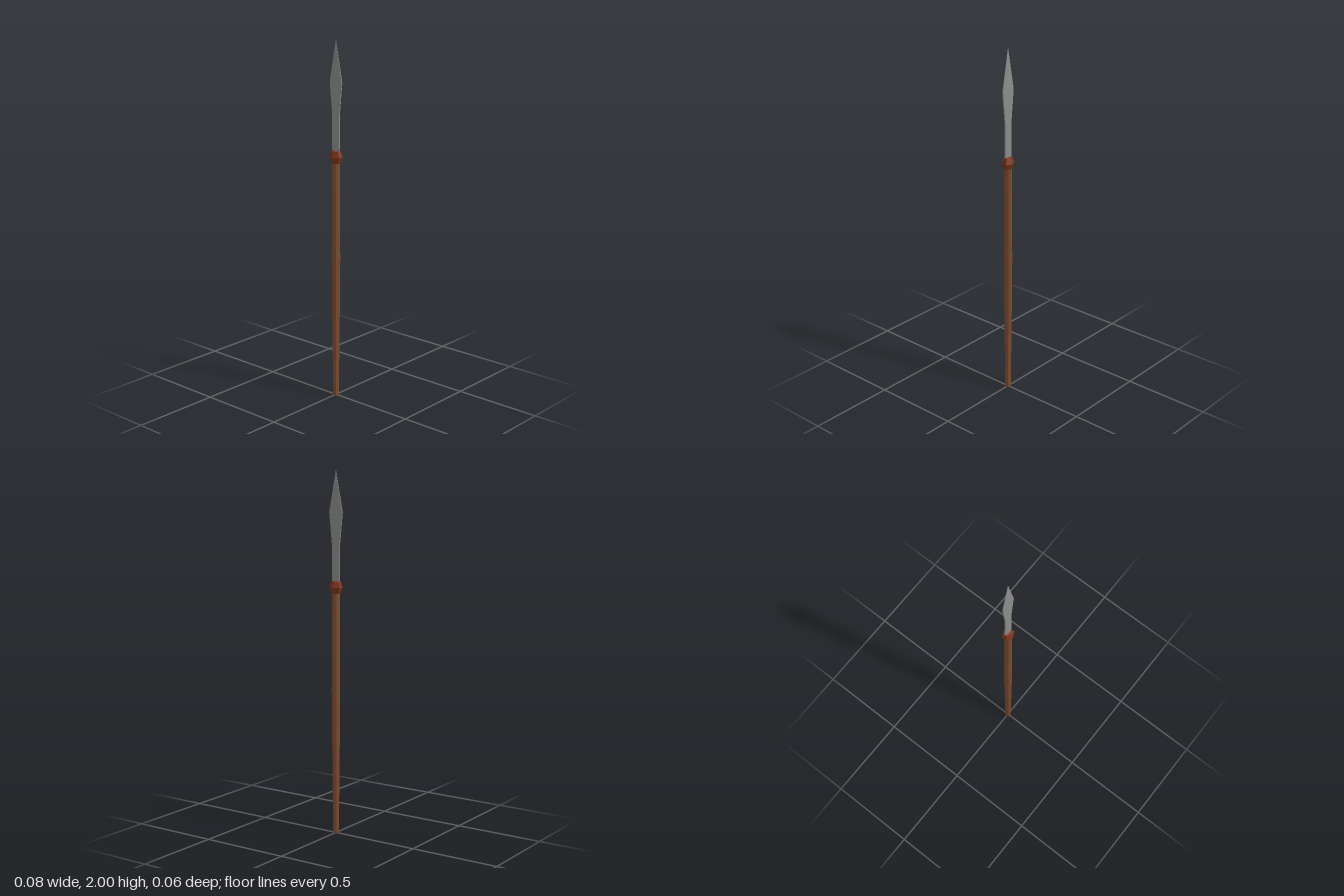
import * as THREE from 'three';

const mat = (name, color) => {
  const m = new THREE.MeshStandardMaterial({ color });
  m.name = name;
  return m;
};

// Turned part with flat facets, from [radius, y] pairs
function turned(name, profile, sides, material) {
  const points = profile.map(([r, y]) => new THREE.Vector2(r, y));
  const geometry = new THREE.LatheGeometry(points, sides).toNonIndexed();
  geometry.computeVertexNormals();
  const mesh = new THREE.Mesh(geometry, material);
  mesh.name = name;
  return mesh;
}

// Blade lofted through six-sided sections: [y, half width, half edge, half ridge]
function bladeGeometry(sections) {
  const rings = sections.map(([y, w, e, r]) => [
    [w, y, e], [w, y, -e], [0, y, -r], [-w, y, -e], [-w, y, e], [0, y, r],
  ]);
  const pos = [];
  for (let i = 0; i < rings.length - 1; i++) {
    for (let j = 0; j < 6; j++) {
      const k = (j + 1) % 6;
      const a = rings[i][j], b = rings[i][k], c = rings[i + 1][k], d = rings[i + 1][j];
      pos.push(...a, ...b, ...c, ...a, ...c, ...d);
    }
  }
  const geometry = new THREE.BufferGeometry();
  geometry.setAttribute('position', new THREE.Float32BufferAttribute(pos, 3));
  geometry.computeVertexNormals();
  return geometry;
}

export function createModel() {
  const wood = mat('shaft wood', 0x7b4a2f);
  const leather = mat('collar red brown', 0x7c341a);
  const steel = mat('blade steel', 0x8c8c8c);
  const spear = new THREE.Group();
  spear.name = 'spear';

  // Shaft, thickest at the grip
  spear.add(turned('shaft', [
    [0, 0], [0.016, 0], [0.02, 0.35], [0.0235, 0.8], [0.0205, 1.36],
  ], 8, wood));

  // Six-sided collar, slightly wider than deep
  const collar = turned('collar', [
    [0, 1.335], [0.021, 1.335], [0.032, 1.368], [0.022, 1.402], [0, 1.402],
  ], 6, leather);
  collar.scale.x = 1.2;
  spear.add(collar);

  // Leaf-shaped blade with a shallow central ridge
  const blade = new THREE.Mesh(bladeGeometry([
    [1.38, 0.024, 0.003, 0.008],
    [1.6, 0.025, 0.003, 0.007],
    [1.77, 0.042, 0.003, 0.006],
    [2, 0, 0, 0],
  ]), steel);
  blade.name = 'blade';
  spear.add(blade);

  return spear;
}
